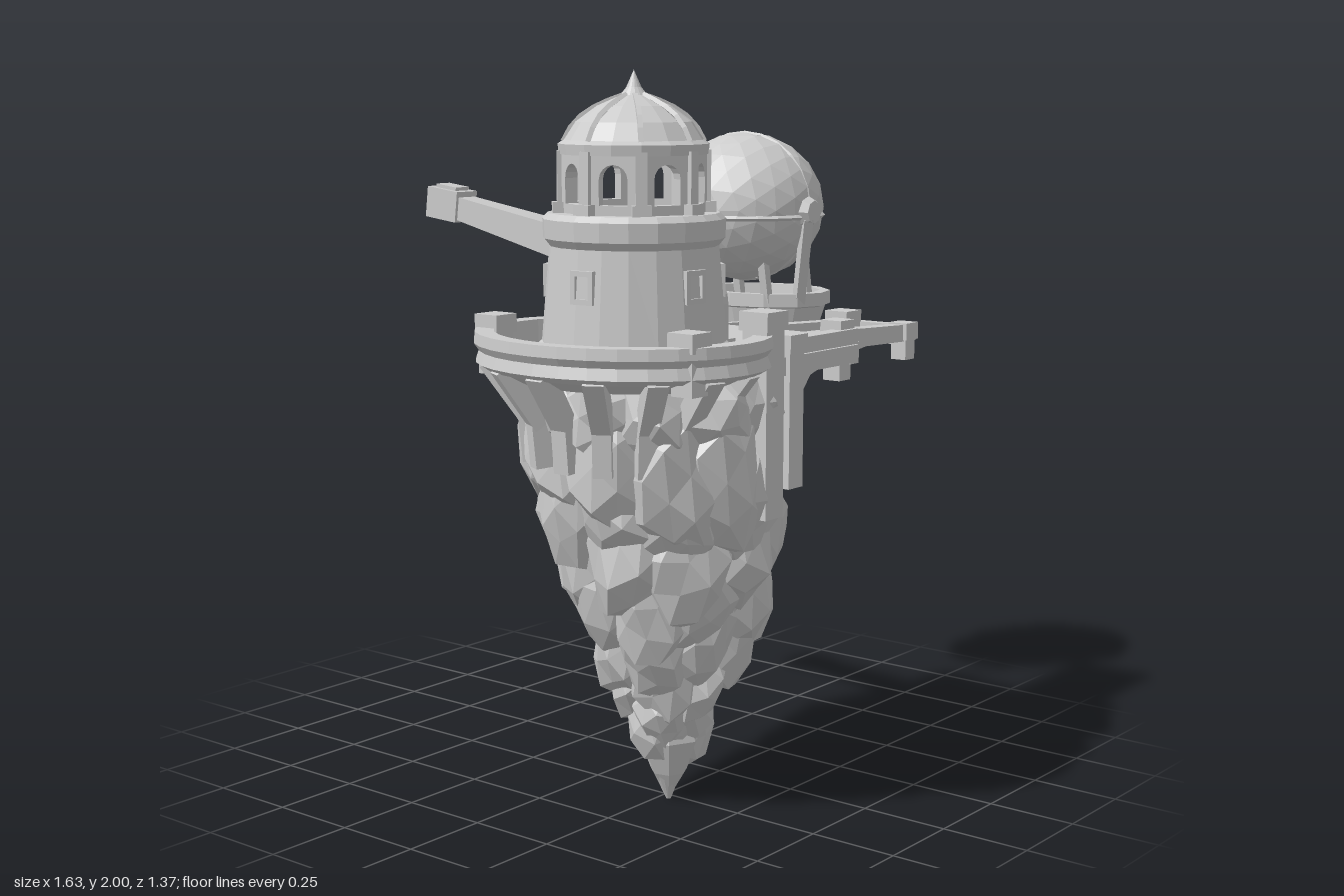
import * as THREE from 'three';

const mat = new THREE.MeshStandardMaterial({ color: 0xcccccc, flatShading: true, side: THREE.DoubleSide });
const V = (x, y, z) => new THREE.Vector3(x, y, z);

let seed = 7;
const rnd = () => { seed = (seed * 16807) % 2147483647; return seed / 2147483647; };

function add(parent, name, geo, x = 0, y = 0, z = 0) {
  const m = new THREE.Mesh(geo, mat);
  m.name = name;
  m.position.set(x, y, z);
  parent.add(m);
  return m;
}
const box = (p, name, w, h, d, x, y, z) => add(p, name, new THREE.BoxGeometry(w, h, d), x, y, z);
const lathe = (pts, sides, start = 0, len = Math.PI * 2) =>
  new THREE.LatheGeometry(pts.map(q => new THREE.Vector2(q[0], q[1])), sides, start, len);
// tapered square beam between two points
function beam(p, name, a, b, wa, wb = wa) {
  const g = new THREE.CylinderGeometry(wb * 0.707, wa * 0.707, a.distanceTo(b), 4).rotateY(Math.PI / 4).rotateX(Math.PI / 2);
  const m = add(p, name, g);
  m.position.copy(a).lerp(b, 0.5);
  m.lookAt(b);
  return m;
}
function post(p, x, z, y0, y1, w = 0.07) {
  box(p, 'post', w, y1 - y0, w, x, (y0 + y1) / 2, z);
  box(p, 'postCap', w + 0.014, 0.05, w + 0.014, x, y1 - 0.025, z);
}

// rock outline: y, xMin, xMax, zMin, zMax
const OUT = [[0, -0.28, -0.265, 0.27, 0.285], [0.1, -0.33, -0.215, 0.225, 0.325], [0.2, -0.37, -0.165, 0.19, 0.365],
  [0.4, -0.43, -0.07, 0.11, 0.45], [0.6, -0.53, 0.03, 0.05, 0.53], [0.8, -0.61, 0.03, -0.02, 0.6],
  [1.0, -0.67, 0.0, -0.09, 0.62], [1.24, -0.68, -0.02, -0.1, 0.62]];
function outline(y) {
  let i = 0;
  while (i < OUT.length - 2 && OUT[i + 1][0] < y) i++;
  const a = OUT[i], b = OUT[i + 1], t = (y - a[0]) / (b[0] - a[0]);
  const [, x0, x1, z0, z1] = a.map((v, k) => v + (b[k] - v) * t);
  return { cx: (x0 + x1) / 2, cz: (z0 + z1) / 2, rx: (x1 - x0) / 2, rz: (z1 - z0) / 2 };
}
function boulder(p, x, y, z, sx, sy, sz) {
  const g = new THREE.IcosahedronGeometry(1, 1), a = g.attributes.position, k = rnd() * 9;
  for (let i = 0; i < a.count; i++) {
    const s = 1 + 0.1 * Math.sin(k + 3.1 * a.getX(i) + 4.3 * a.getY(i) + 2.7 * a.getZ(i));
    a.setXYZ(i, a.getX(i) * s, a.getY(i) * s, a.getZ(i) * s);
  }
  const m = add(p, 'boulder', g, x, y, z);
  m.scale.set(sx, sy, sz);
  m.rotation.set((rnd() - 0.5) * 0.3, rnd() * 6, (rnd() - 0.5) * 0.3);
}
function buildRock() {
  const g = new THREE.Group();
  g.name = 'floatingRock';
  // solid core following the outline
  const core = new THREE.CylinderGeometry(1, 1, 1.22, 16, 12).translate(0, 0.61, 0), a = core.attributes.position;
  for (let i = 0; i < a.count; i++) {
    const y = a.getY(i), o = outline(y), s = 0.91 + 0.04 * Math.sin(3 * Math.atan2(a.getX(i), a.getZ(i)) + y * 17);
    a.setXYZ(i, o.cx + a.getX(i) * o.rx * s, y, o.cz + a.getZ(i) * o.rz * s);
  }
  add(g, 'rockCore', core);
  add(g, 'rockTip', lathe([[0, 0], [0.05, 0.08], [0.092, 0.18], [0.07, 0.27], [0, 0.3]], 7), -0.27, 0, 0.277);
  // rings of tall rounded boulders clinging to the core
  for (let r = 0; r < 8; r++) {
    const y = 0.26 + r * 0.122, o = outline(y), n = 5 + r;
    for (let i = 0; i < n; i++) {
      const t = (i + (r % 2) / 2 + rnd() * 0.3) / n * Math.PI * 2;
      const s = 0.075 + 0.04 * Math.min(1, r / 4) + rnd() * 0.02, d = 0.99 + rnd() * 0.05;
      boulder(g, o.cx + Math.cos(t) * Math.max(0.01, o.rx * d - s * 0.9), y + (rnd() - 0.5) * 0.06,
        o.cz + Math.sin(t) * Math.max(0.01, o.rz * d - s * 0.9), s, Math.min(s * (1.35 + rnd() * 0.4), 1.25 - y), s);
    }
  }
  // rock buttress under the crane
  for (const [y, z] of [[0.72, 0.06], [0.86, 0.01], [0.98, -0.05], [1.08, -0.09]]) boulder(g, -0.14, y, z, 0.11, 0.16, 0.1);
  return g;
}

function buildTower() {
  const g = new THREE.Group();
  g.name = 'tower';
  g.position.set(-0.423, 0, 0.28);
  add(g, 'towerWall', lathe([[0, 1.25], [0.26, 1.25], [0.255, 1.29], [0.243, 1.3], [0.222, 1.55], [0.238, 1.57],
    [0.24, 1.62], [0.225, 1.635], [0, 1.635]], 20));
  // lantern room with eight arched openings
  const panel = new THREE.Shape([[-0.078, 0], [0.078, 0], [0.078, 0.17], [-0.078, 0.17]].map(q => new THREE.Vector2(...q)));
  const hole = new THREE.Path();
  hole.moveTo(-0.038, 0.035).lineTo(0.038, 0.035).lineTo(0.038, 0.1);
  hole.absarc(0, 0.1, 0.038, 0, Math.PI).lineTo(-0.038, 0.035);
  panel.holes.push(hole);
  const pg = new THREE.ExtrudeGeometry(panel, { depth: 0.035, bevelEnabled: false, curveSegments: 4 }).translate(0, 0, 0.145);
  for (let i = 0; i < 8; i++) {
    const t = (i + 0.5) * Math.PI / 4, e = i * Math.PI / 4;
    add(g, 'lanternArch', pg, 0, 1.625, 0).rotation.y = t;
    box(g, 'lanternPillar', 0.03, 0.17, 0.03, Math.sin(e) * 0.185, 1.71, Math.cos(e) * 0.185).rotation.y = e;
    box(g, 'pillarFoot', 0.05, 0.035, 0.035, Math.sin(e) * 0.195, 1.645, Math.cos(e) * 0.195).rotation.y = e;
    // roof rib
    const rib = new THREE.CatmullRomCurve3([[0.184, 1.818], [0.154, 1.868], [0.098, 1.908], [0.03, 1.935]]
      .map(([r, y]) => V(Math.sin(e) * r, y, Math.cos(e) * r)));
    add(g, 'roofRib', new THREE.TubeGeometry(rib, 5, 0.009, 4));
  }
  add(g, 'roof', lathe([[0.17, 1.785], [0.195, 1.785], [0.198, 1.812], [0.183, 1.822], [0.153, 1.868], [0.098, 1.908],
    [0.036, 1.935], [0.02, 1.955], [0, 2]], 16));
  // small framed windows
  for (const t of [-0.15, 0.85, 2.4, 3.6, 4.8]) {
    const w = new THREE.Group();
    w.name = 'window';
    w.rotation.y = t;
    for (const s of [-1, 1]) {
      box(w, 'windowJamb', 0.014, 0.085, 0.03, s * 0.027, 1.455, 0.222);
      box(w, 'windowSill', 0.065, 0.014, 0.03, 0, 1.455 + s * 0.036, 0.222);
    }
    g.add(w);
  }
  // arched doorway, gable and steps toward the dock
  const arch = new THREE.Shape();
  arch.moveTo(-0.1, 0).lineTo(-0.1, 0.13).absarc(0, 0.13, 0.1, Math.PI, 0, true).lineTo(0.1, 0);
  arch.lineTo(0.06, 0).lineTo(0.06, 0.13).absarc(0, 0.13, 0.06, 0, Math.PI).lineTo(-0.06, 0);
  add(g, 'doorArch', new THREE.ExtrudeGeometry(arch, { depth: 0.08, bevelEnabled: false, curveSegments: 6 }),
    0.185, 1.25, 0.01).rotation.y = Math.PI / 2;
  box(g, 'door', 0.03, 0.18, 0.12, 0.225, 1.34, 0.01);
  for (const s of [-1, 1]) beam(g, 'doorGable', V(0.235, 1.45, 0.01 + s * 0.08), V(0.225, 1.51, 0.01), 0.03);
  for (let i = 0; i < 2; i++) box(g, 'step', 0.05, 0.02 + i * 0.02, 0.18, 0.3 - i * 0.04, 1.27, 0);
  for (const z of [-0.14, -0.2]) boulder(g, 0.235, 1.275, z, 0.035, 0.03, 0.035);
  return g;
}

function buildTerrace() {
  const g = new THREE.Group();
  g.name = 'terrace';
  const cx = -0.455, cz = 0.267, k = 0.87; // oval, narrower across x
  add(g, 'terraceFloor', lathe([[0, 1.2], [0.31, 1.2], [0.385, 1.235], [0.39, 1.26], [0, 1.26]], 28), cx, 0, cz).scale.x = k;
  add(g, 'parapet', lathe([[0.355, 1.25], [0.385, 1.23], [0.41, 1.245], [0.4, 1.275], [0.415, 1.295], [0.412, 1.325],
    [0.358, 1.325], [0.355, 1.25]], 24, 2.36, 4.71), cx, 0, cz).scale.x = k;
  // bent corbels below the rim
  for (let i = 0; i < 11; i++) {
    const t = 2.5 + i * 0.44, s = Math.sin(t) * k, c = Math.cos(t);
    const at = (r, y) => V(cx + s * r, y, cz + c * r);
    beam(g, 'corbel', at(0.25, 0.98), at(0.265, 1.12), 0.05);
    beam(g, 'corbel', at(0.255, 1.09), at(0.37, 1.245), 0.05, 0.055);
  }
  for (const [x, z, y0, y1, w] of [[-0.59, 0.595, 1.2, 1.36, 0.065], [-0.59, -0.06, 1.2, 1.36, 0.065],
    [-0.27, 0.588, 0.84, 1.385, 0.078], [-0.28, -0.07, 0.95, 1.385, 0.075]]) post(g, x, z, y0, y1, w);
  return g;
}

function buildDock() {
  const g = new THREE.Group();
  g.name = 'dock';
  box(g, 'dockDeck', 0.5, 0.05, 0.62, 0.02, 1.235, 0.215);
  for (const z of [-0.09, 0.51]) {
    box(g, 'dockRail', 0.5, 0.03, 0.045, 0.01, 1.27, z);
    box(g, 'dockBeam', 0.5, 0.05, 0.05, 0.01, 1.215, z);
  }
  box(g, 'dockEdgeBeam', 0.04, 0.06, 0.62, 0.255, 1.215, 0.215);
  post(g, -0.06, 0.515, 0.88, 1.3, 0.065);
  for (const z of [-0.07, 0.485]) post(g, 0.225, z, 1.14, 1.31, 0.055);
  // narrow gangway
  box(g, 'gangwayDeck', 0.42, 0.03, 0.23, 0.48, 1.225, 0.34).rotation.z = -0.03;
  beam(g, 'gangwayRail', V(0.24, 1.25, 0.235), V(0.68, 1.23, 0.235), 0.05, 0.045);
  beam(g, 'gangwayRail', V(0.24, 1.25, 0.445), V(0.68, 1.23, 0.43), 0.05, 0.045);
  box(g, 'gangwayEnd', 0.035, 0.06, 0.22, 0.672, 1.22, 0.335);
  post(g, 0.62, 0.24, 1.16, 1.285, 0.065);
  post(g, 0.65, 0.435, 1.15, 1.26, 0.05);
  // paired arched brace from rock to gangway, tied by collars
  const s = new THREE.Shape();
  s.moveTo(-0.06, 0.76).lineTo(0.03, 0.87).lineTo(0.09, 0.97).lineTo(0.16, 1.04).lineTo(0.21, 1.11).lineTo(0.38, 1.16);
  s.lineTo(0.6, 1.19).lineTo(0.6, 1.22).lineTo(0.18, 1.21).quadraticCurveTo(0.08, 1.14, 0.02, 0.98).lineTo(-0.06, 0.92);
  for (const z of [0.23, 0.33])
    add(g, 'archBrace', new THREE.ExtrudeGeometry(s, { depth: 0.04, bevelEnabled: false }), 0, 0, z - 0.02);
  box(g, 'braceCollar', 0.12, 0.035, 0.16, 0.115, 1.02, 0.28).rotation.z = -0.1;
  box(g, 'braceCollar', 0.1, 0.04, 0.16, 0.0, 0.88, 0.28).rotation.z = -0.1;
  // short curved struts hugging the rock
  for (const z of [0.0, 0.13, 0.45]) {
    beam(g, 'strut', V(-0.04, 0.96, z), V(0.01, 1.1, z), 0.05);
    beam(g, 'strut', V(0.0, 1.08, z), V(0.12, 1.215, z), 0.05);
  }
  return g;
}

function buildCrane() {
  const g = new THREE.Group();
  g.name = 'crane';
  add(g, 'craneColumn', new THREE.CylinderGeometry(0.115, 0.095, 0.4, 4).rotateY(Math.PI / 4), -0.125, 1.19, -0.1);
  box(g, 'cranePlinth', 0.18, 0.05, 0.19, -0.13, 1.375, -0.095);
  box(g, 'craneBracket', 0.03, 0.12, 0.11, -0.115, 1.44, -0.075);
  box(g, 'craneBracket', 0.025, 0.12, 0.11, -0.215, 1.44, -0.075);
  add(g, 'cranePivot', new THREE.CylinderGeometry(0.058, 0.058, 0.15, 10).rotateZ(Math.PI / 2), -0.16, 1.485, -0.075);
  beam(g, 'craneArm', V(-0.17, 1.495, -0.05), V(-0.175, 1.605, -0.6), 0.1, 0.065);
  const head = box(g, 'craneHead', 0.085, 0.09, 0.12, -0.175, 1.61, -0.625);
  head.rotation.x = 0.12;
  box(head, 'craneHeadCap', 0.055, 0.02, 0.08, 0, 0.045, 0);
  return g;
}

function buildBalloon() {
  const g = new THREE.Group();
  g.name = 'airBalloon';
  const x = 0.56, z = -0.09;
  add(g, 'envelope', new THREE.IcosahedronGeometry(1, 3), x, 1.588, z).scale.set(0.238, 0.226, 0.247);
  add(g, 'girdle', new THREE.TorusGeometry(0.236, 0.008, 4, 24).rotateX(Math.PI / 2), x, 1.565, z).scale.z = 1.035;
  add(g, 'seam', new THREE.TorusGeometry(0.224, 0.006, 4, 24).rotateY(Math.PI / 2), x, 1.588, z).scale.z = 1.08;
  // boat-shaped gondola
  add(g, 'gondola', lathe([[0, 1.13], [0.55, 1.135], [0.82, 1.21], [0.93, 1.285], [1, 1.29], [1, 1.33],
    [0.85, 1.33], [0.8, 1.26], [0, 1.25]], 12), 0.637, 0, -0.07).scale.set(0.175, 1, 0.22);
  for (const s of [-1, 1]) {
    add(g, 'sideBoss', new THREE.CylinderGeometry(0.035, 0.055, 0.035, 8).rotateX(s * Math.PI / 2), x, 1.58, z + s * 0.245);
    beam(g, 'gondolaStrut', V(x - 0.015, 1.56, z + s * 0.245), V(x + 0.01, 1.3, -0.07 + s * 0.18), 0.03);
    for (const dx of [-0.08, 0.13])
      beam(g, 'gondolaStrut', V(x + dx, 1.44, z + s * 0.13), V(x + dx + 0.03, 1.28, z + s * 0.13), 0.025);
  }
  beam(g, 'mooringPlank', V(0.25, 1.24, -0.045), V(0.5, 1.24, 0.03), 0.022);
  add(g, 'bowBoss', new THREE.CylinderGeometry(0.025, 0.045, 0.05, 6).rotateZ(-Math.PI / 2), 0.79, 1.24, -0.07);
  return g;
}

export function createModel() {
  const root = new THREE.Group();
  root.name = 'floatingLighthouse';
  root.add(buildRock(), buildTerrace(), buildTower(), buildDock(), buildCrane(), buildBalloon());
  return root;
}
